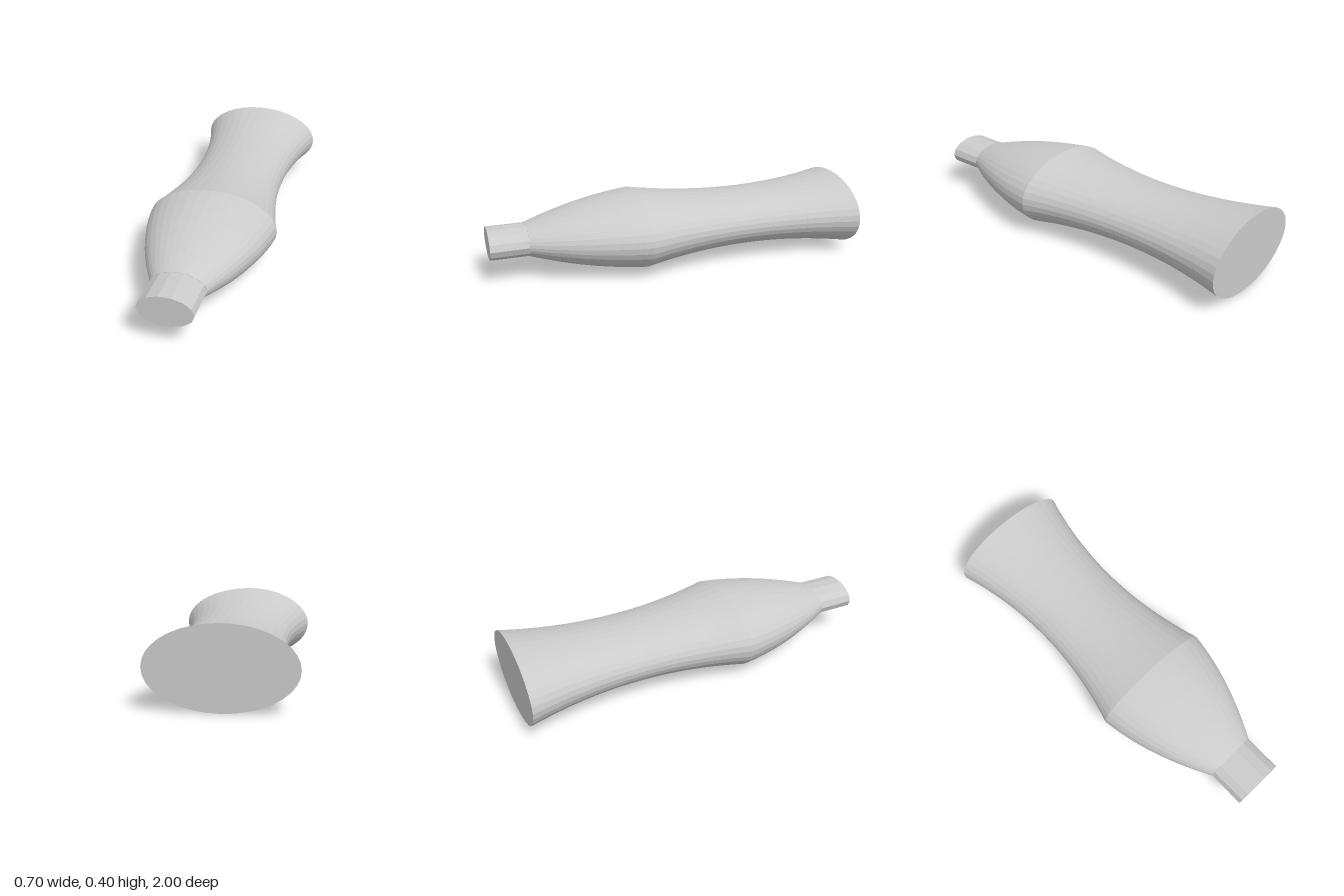
import * as THREE from 'three';

const CENTER_Y = 0.2;   // height of the long axis
const FLATTEN = 0.571;  // height / width of the oval section
const WIDE = 0.349, WAIST = 0.26, NECK = 0.14;

// Oval, faceted solid of revolution along z; profile holds [radius, z] from back to front.
function ovalLathe(name, profile, sides) {
  const points = profile.map(([r, z]) => new THREE.Vector2(r, z));
  const geometry = new THREE.LatheGeometry(points, sides, Math.PI / 2)
    .rotateX(Math.PI / 2)
    .scale(1, FLATTEN, 1)
    .translate(0, CENTER_Y, 0)
    .toNonIndexed();
  geometry.computeVertexNormals();
  const material = new THREE.MeshStandardMaterial({ color: 0xcccccc, flatShading: true });
  const mesh = new THREE.Mesh(geometry, material);
  mesh.name = name;
  return mesh;
}

// Samples a radius rule between two z positions.
function sample(z0, z1, steps, radius) {
  return Array.from({ length: steps + 1 }, (_, i) => {
    const t = i / steps;
    return [radius(t), THREE.MathUtils.lerp(z0, z1, t)];
  });
}

export function createModel() {
  const group = new THREE.Group();
  group.name = 'waistedHandle';

  // Grip: closed flat back, pinched in the middle
  const grip = sample(-1, 0.2, 24, t => WAIST + (WIDE - WAIST) * (2 * t - 1) ** 2);
  group.add(ovalLathe('grip', [[0, -1], ...grip], 36));

  // Shoulder: bulging taper from the widest ring to the neck
  const shoulder = sample(0.2, 0.8, 14, t =>
    THREE.MathUtils.lerp(WIDE, NECK, t) + 0.128 * t * (1 - t));
  group.add(ovalLathe('shoulder', [...shoulder, [0, 0.8]], 36));

  // Neck: straight stub with a flat front
  group.add(ovalLathe('neck', [[NECK, 0.8], [NECK, 1], [0, 1]], 14));

  return group;
}
